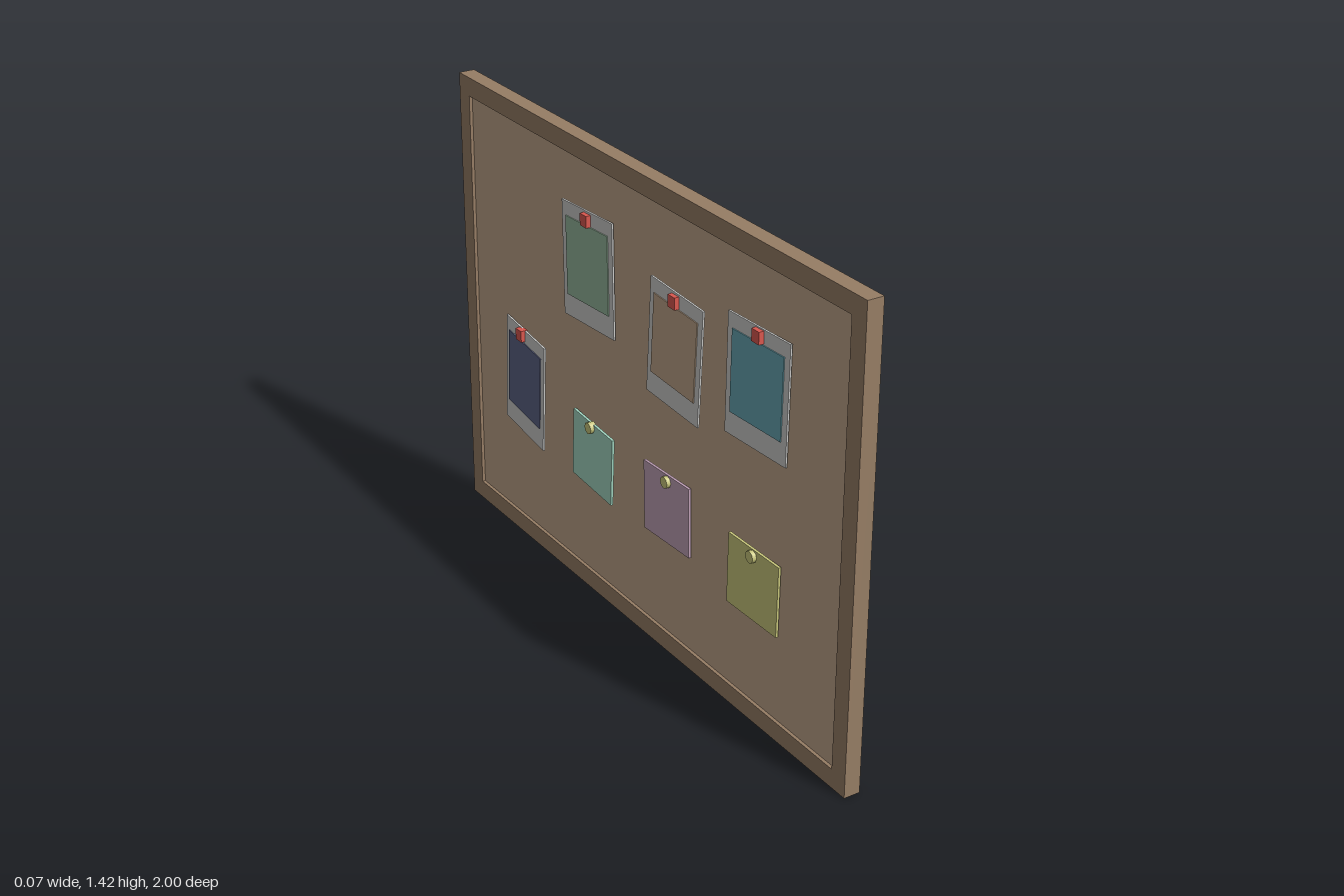
import * as THREE from 'three';

const mat = (name, color) => Object.assign(new THREE.MeshStandardMaterial({ color }), { name });
const M = {
  frame: mat('brown wood', 0x967d65),
  board: mat('cork', 0xbda388),
  paper: mat('photo paper', 0xcacac8),
  red: mat('red', 0xd9584f),
  yellow: mat('yellow', 0xc9c77c),
  teal: mat('teal', 0x67a5b2),
  green: mat('sage green', 0x94b59b),
  navy: mat('slate blue', 0x5b6285),
  mint: mat('mint', 0xa2d5c0),
  purple: mat('mauve', 0xbfa0b5),
};

function add(parent, name, geometry, material, x = 0, y = 0, z = 0) {
  const mesh = new THREE.Mesh(geometry, material);
  mesh.name = name;
  mesh.position.set(x, y, z);
  parent.add(mesh);
  return mesh;
}

const box = (w, h, d) => new THREE.BoxGeometry(w, h, d);

// Group placed on the board, turned a little
function pinned(parent, name, x, y, depth, yaw, roll) {
  const g = new THREE.Group();
  g.name = name;
  g.position.set(x, y, depth);
  g.rotation.set(0, yaw, roll);
  parent.add(g);
  return g;
}

export function createModel() {
  const root = new THREE.Group();
  root.name = 'pinboard';

  // Everything is laid out facing +z, then turned to face -x
  const face = new THREE.Group();
  face.name = 'boardAssembly';
  face.rotation.y = -Math.PI / 2;
  root.add(face);

  // Frame with a mitre-free rectangular opening
  const W = 2, H = 1.42, B = 0.058;
  const outline = new THREE.Shape([[-1, 0], [1, 0], [1, H], [-1, H]].map(p => new THREE.Vector2(...p)));
  const ix = W / 2 - B;
  outline.holes.push(new THREE.Path([[-ix, B], [-ix, H - B], [ix, H - B], [ix, B]].map(p => new THREE.Vector2(...p))));
  add(face, 'frame', new THREE.ExtrudeGeometry(outline, { depth: 0.05, bevelEnabled: false }), M.frame, 0, 0, -0.035);

  // Recessed cork panel
  add(face, 'corkPanel', box(W - 2 * B, H - 2 * B, 0.027), M.board, 0, H / 2, -0.0085);

  // Instant photos: x, y, yaw, roll, picture colour, pin x, pin y
  const photos = [
    [0.575, 1.017, 0.07, -0.02, M.teal, 0.582, 1.17],
    [0.19, 0.97, 0.01, -0.06, M.board, 0.195, 1.12],
    [-0.255, 1.05, 0.045, 0.02, M.green, -0.255, 1.2],
    [-0.632, 0.542, -0.06, -0.06, M.navy, -0.64, 0.7],
  ];
  for (const [x, y, yaw, roll, colour, px, py] of photos) {
    const g = pinned(face, 'photo', x, y, 0.02, yaw, roll);
    add(g, 'photoPaper', box(0.25, 0.35, 0.006), M.paper);
    add(g, 'photoPicture', box(0.208, 0.24, 0.004), colour, 0, 0.012, 0.004);
    add(face, 'squarePin', box(0.033, 0.036, 0.0225), M.red, px, py, 0.02575);
  }

  // Sticky notes: x, y, yaw, roll, colour, pin x, pin y
  const notes = [
    [0.575, 0.437, 0.03, -0.02, M.yellow, 0.575, 0.525],
    [0.155, 0.472, 0.02, 0.02, M.purple, 0.16, 0.56],
    [-0.242, 0.46, -0.02, -0.05, M.mint, -0.245, 0.555],
  ];
  const pinGeometry = new THREE.CylinderGeometry(0.018, 0.018, 0.0205, 8);
  pinGeometry.rotateX(Math.PI / 2);
  for (const [x, y, yaw, roll, colour, px, py] of notes) {
    const g = pinned(face, 'stickyNote', x, y, 0.019, yaw, roll);
    add(g, 'notePaper', box(0.222, 0.216, 0.008), colour);
    add(face, 'roundPin', pinGeometry, M.yellow, px, py, 0.025);
  }
  return root;
}
